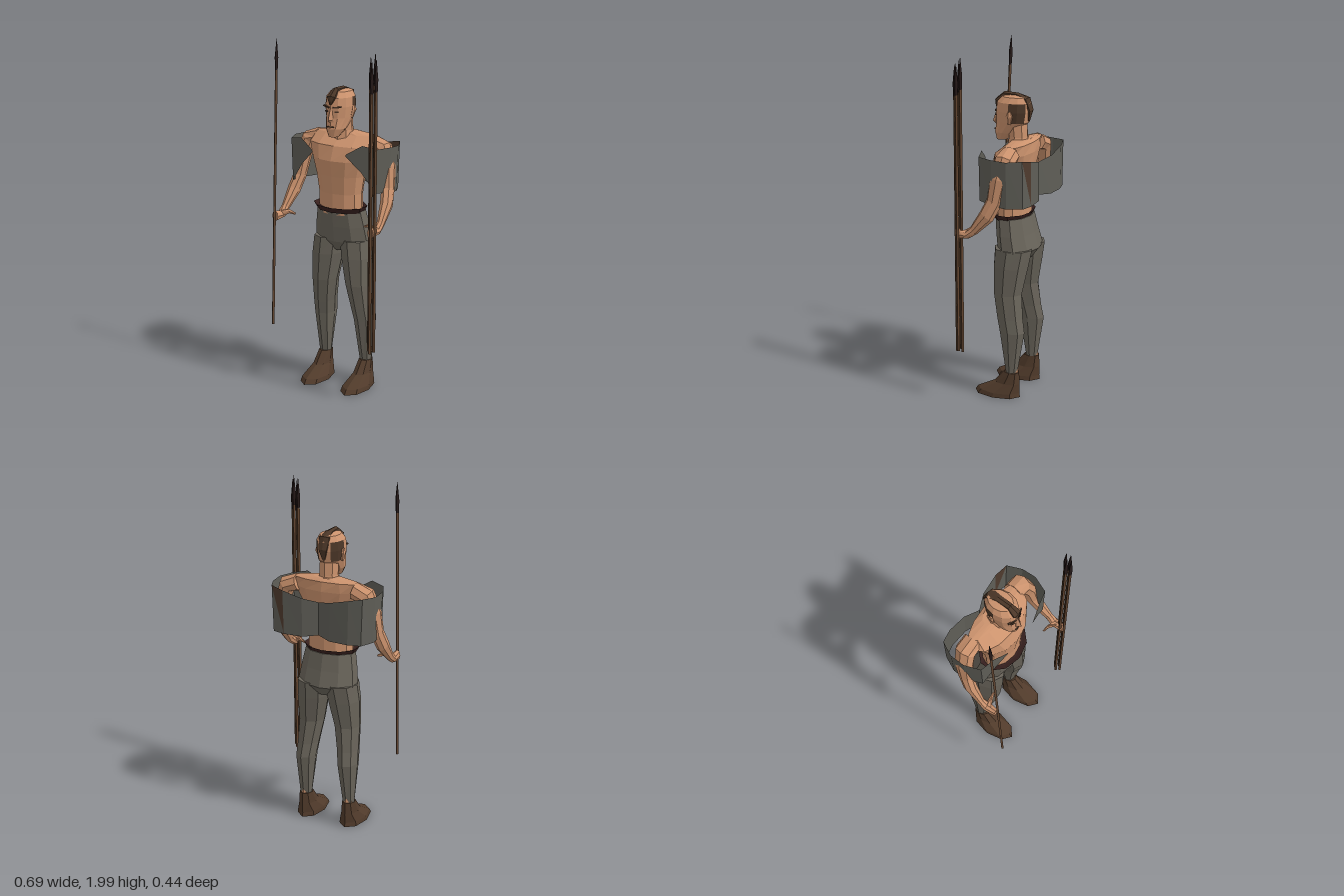
import * as THREE from 'three';

const mat = (name, color, side = THREE.FrontSide) => {
  const m = new THREE.MeshStandardMaterial({ color, flatShading: true, side });
  m.name = name;
  return m;
};

// Skins rings of [x, y, z, halfWidth, halfDepth]. Rings lie level, or across the path if follow is set.
// pick(row, column) chooses the material index of each face.
function loft(rings, sides, follow = false, pick = () => 0) {
  const X = new THREE.Vector3(1, 0, 0), centre = rings.map(r => new THREE.Vector3(r[0], r[1], r[2]));
  const pts = rings.map((r, i) => {
    const u = X.clone(), w = new THREE.Vector3(0, 0, 1);
    if (follow) {
      const t = centre[Math.min(i + 1, rings.length - 1)].clone().sub(centre[Math.max(i - 1, 0)]).normalize();
      u.addScaledVector(t, -t.x).normalize();
      w.crossVectors(u, t);
    }
    return Array.from({ length: sides }, (_, j) => {
      const a = (j / sides) * Math.PI * 2;
      return centre[i].clone().addScaledVector(u, Math.sin(a) * r[3]).addScaledVector(w, Math.cos(a) * r[4]);
    });
  });
  const faces = [];
  for (let i = 0; i < rings.length - 1; i++) for (let j = 0; j < sides; j++) {
    const k = (j + 1) % sides, [a, b, c, d] = [pts[i][j], pts[i][k], pts[i + 1][k], pts[i + 1][j]];
    faces.push({ m: pick(i, j), v: [a, b, c, a, c, d] });
  }
  const last = rings.length - 1;
  for (let j = 0; j < sides; j++) {
    const k = (j + 1) % sides;
    faces.push({ m: pick(0, j), v: [centre[0], pts[0][k], pts[0][j]] });
    faces.push({ m: pick(last - 1, j), v: [centre[last], pts[last][j], pts[last][k]] });
  }
  return facesToGeometry(faces);
}

function facesToGeometry(faces) {
  faces.sort((a, b) => a.m - b.m);
  const g = new THREE.BufferGeometry().setFromPoints(faces.flatMap(f => f.v));
  let start = 0;
  for (const f of faces) {
    g.addGroup(start, f.v.length, f.m);
    start += f.v.length;
  }
  g.computeVertexNormals();
  return g;
}

export function createModel() {
  const skin = mat('skin', 0xcb926d), trouserCloth = mat('trouser cloth', 0x69645a);
  const mantleCloth = mat('mantle cloth', 0x5f5e57, THREE.DoubleSide);
  const patchCloth = mat('patch cloth', 0x4f3b2e, THREE.DoubleSide);
  const leather = mat('boot leather', 0x513b2b), hair = mat('hair', 0x4c3728);
  const belt = mat('belt leather', 0x38211f), wood = mat('wood', 0x634631), iron = mat('spear tip', 0x261a19);

  const model = new THREE.Group();
  model.name = 'spearman';
  const add = (name, geometry, material, parent = model) => {
    const m = new THREE.Mesh(geometry, material);
    m.name = name;
    parent.add(m);
    return m;
  };

  // Torso and neck
  add('torso', loft([
    [0, 1.03, -0.03, 0.135, 0.09], [0, 1.15, -0.03, 0.135, 0.09], [0, 1.25, -0.03, 0.15, 0.1],
    [0, 1.34, -0.03, 0.175, 0.11], [0, 1.42, -0.05, 0.215, 0.1], [0, 1.475, -0.085, 0.2, 0.06],
    [0, 1.49, -0.08, 0.08, 0.045],
  ], 12), skin);
  add('neck', loft([[0, 1.42, -0.055, 0.075, 0.07], [0, 1.5, -0.055, 0.055, 0.055], [0, 1.6, -0.045, 0.055, 0.06]], 8), skin);

  // Head, with hair on the faces behind the ears
  const head = new THREE.Group();
  head.name = 'head';
  model.add(head);
  add('skull', loft([
    [0, 1.475, 0.045, 0.028, 0.03], [0, 1.52, 0.02, 0.056, 0.063], [0, 1.58, -0.02, 0.07, 0.095],
    [0, 1.64, -0.025, 0.077, 0.102], [0, 1.69, -0.028, 0.074, 0.098], [0, 1.72, -0.035, 0.055, 0.075],
    [0, 1.73, -0.035, 0.02, 0.04],
  ], 12, false, (i, j) => (i >= 2 && i <= 3 && [3, 4, 7, 8].includes(j) ? 1 : 0)), [skin, hair], head);
  add('hairCrest', loft([
    [0, 1.655, 0.078, 0.006, 0.005], [0, 1.695, 0.07, 0.03, 0.012], [0, 1.728, 0.025, 0.02, 0.016],
    [0, 1.728, -0.05, 0.022, 0.014], [0, 1.71, -0.105, 0.036, 0.014], [0, 1.65, -0.128, 0.028, 0.01],
    [0, 1.59, -0.116, 0.008, 0.006],
  ], 6, true), hair, head);
  add('nose', loft([[0, 1.56, 0.075, 0.016, 0.012], [0, 1.572, 0.078, 0.018, 0.024], [0, 1.63, 0.073, 0.007, 0.008]], 4), skin, head);
  const mouth = add('mouth', new THREE.BoxGeometry(0.044, 0.006, 0.006), hair, head);
  mouth.position.set(0, 1.533, 0.08);
  for (const s of [-1, 1]) {
    const brow = add('brow', new THREE.BoxGeometry(0.05, 0.008, 0.008), hair, head);
    brow.position.set(s * 0.034, 1.642, 0.066);
    brow.rotation.set(0, s * 0.38, s * 0.12);
    const eye = add('eye', new THREE.BoxGeometry(0.022, 0.007, 0.006), hair, head);
    eye.position.set(s * 0.032, 1.617, 0.068);
    eye.rotation.y = s * 0.38;
    add('ear', loft([[s * 0.068, 1.575, -0.03, 0.008, 0.01], [s * 0.08, 1.62, -0.037, 0.009, 0.02], [s * 0.077, 1.645, -0.035, 0.006, 0.01]], 5), skin, head);
  }

  // Trouser seat and belt
  add('trouserSeat', loft([
    [0, 0.81, -0.065, 0.1, 0.07], [0, 0.87, -0.068, 0.178, 0.113], [0, 0.96, -0.05, 0.166, 0.105], [0, 1.055, -0.035, 0.148, 0.098],
  ], 10), trouserCloth);
  add('belt', loft([[0, 1.045, -0.025, 0.145, 0.098], [0, 1.078, -0.022, 0.163, 0.118], [0, 1.066, -0.025, 0.138, 0.095]], 10), belt);

  // Limbs, mirrored left and right
  for (const s of [-1, 1]) {
    const side = s > 0 ? 'left' : 'right';
    add(side + 'TrouserLeg', loft([
      [s * 0.138, 0.15, -0.08, 0.036, 0.034], [s * 0.133, 0.4, -0.078, 0.058, 0.078], [s * 0.126, 0.48, -0.062, 0.062, 0.08],
      [s * 0.112, 0.62, -0.043, 0.075, 0.085], [s * 0.097, 0.78, -0.055, 0.092, 0.105], [s * 0.087, 0.88, -0.065, 0.092, 0.113],
    ], 8), trouserCloth);
    add(side + 'Ankle', loft([[s * 0.138, 0.1, -0.085, 0.03, 0.032], [s * 0.138, 0.19, -0.085, 0.033, 0.034]], 6), skin);
    add(side + 'Boot', loft([
      [s * 0.138, 0.004, 0.01, 0.075, 0.142], [s * 0.138, 0.03, 0.002, 0.072, 0.13],
      [s * 0.138, 0.085, -0.052, 0.047, 0.078], [s * 0.138, 0.155, -0.08, 0.038, 0.046],
    ], 8), leather);
    add(side + 'Arm', loft([
      [s * 0.17, 1.435, -0.085, 0.05, 0.055], [s * 0.24, 1.415, -0.085, 0.05, 0.06], [s * 0.277, 1.32, -0.07, 0.043, 0.055],
      [s * 0.292, 1.2, -0.05, 0.034, 0.046], [s * 0.307, 1.12, -0.01, 0.034, 0.044], [s * 0.316, 1.03, 0.065, 0.021, 0.026],
      [s * 0.314, 1, 0.105, 0.027, 0.022], [s * 0.314, 1, 0.17, 0.02, 0.03],
    ], 8, true), skin);
    add(side + 'Thumb', loft([[s * 0.31, 1.005, 0.115, 0.018, 0.022], [s * 0.265, 1.02, 0.1, 0.01, 0.013], [s * 0.23, 1.008, 0.09, 0.006, 0.006]], 5, true), skin);
  }

  // Mantle: an open band of [x, z, top, bottom] from the front tip round to the spine, mirrored
  const half = [
    [0.11, 0.096, 1.395, 1.385], [0.2, 0.072, 1.45, 1.3], [0.28, 0.05, 1.435, 1.19], [0.315, -0.04, 1.435, 1.18],
    [0.312, -0.125, 1.43, 1.17], [0.275, -0.205, 1.435, 1.17], [0.2, -0.222, 1.42, 1.17], [0.085, -0.216, 1.39, 1.17], [0, -0.18, 1.37, 1.18],
  ];
  const band = [...half, ...half.slice(0, -1).reverse().map(([x, z, t, b]) => [-x, z, t, b])];
  const cloth = [];
  for (let i = 0; i < band.length - 1; i++) {
    const [p, q] = [band[i], band[i + 1]];
    const top = p2 => new THREE.Vector3(p2[0], p2[2], p2[1]);
    const low = p2 => new THREE.Vector3(p2[0] * 0.97, p2[3], p2[1]);
    cloth.push({ m: i === 5 ? 1 : 0, v: [top(p), low(q), top(q)] }, { m: 0, v: [top(p), low(p), low(q)] });
  }
  add('mantle', facesToGeometry(cloth), [mantleCloth, patchCloth]);

  // Spears: shaft from bottom to tip, with a slim dark head
  const spear = (name, x, z0, z1, y0, y1) => {
    const g = new THREE.Group(), length = y1 - y0, tip = 0.17;
    g.name = name;
    const shaft = add('shaft', new THREE.CylinderGeometry(0.009, 0.009, length - tip, 4), wood, g);
    shaft.position.y = (length - tip) / 2;
    const point = add('point', loft([[0, length - tip, 0, 0.009, 0.009], [0, length - tip * 0.6, 0, 0.012, 0.012], [0, length, 0, 0.001, 0.001]], 4), iron, g);
    point.rotation.y = 0;
    g.position.set(x, y0, z0);
    g.rotation.x = Math.atan2(z1 - z0, length);
    model.add(g);
  };
  spear('heldSpear', -0.31, 0.21, 0.137, 0.365, 2);
  [[0, 0.017, 1.93], [0.017, 0, 1.94], [0, -0.017, 1.97], [-0.017, 0, 1.95]].forEach(([dx, dz, top], i) =>
    spear('bundledSpear' + (i + 1), 0.317 + dx, 0.157 + dz, 0.152 + dz, 0.305 + (i % 2) * 0.01, top));

  return model;
}
